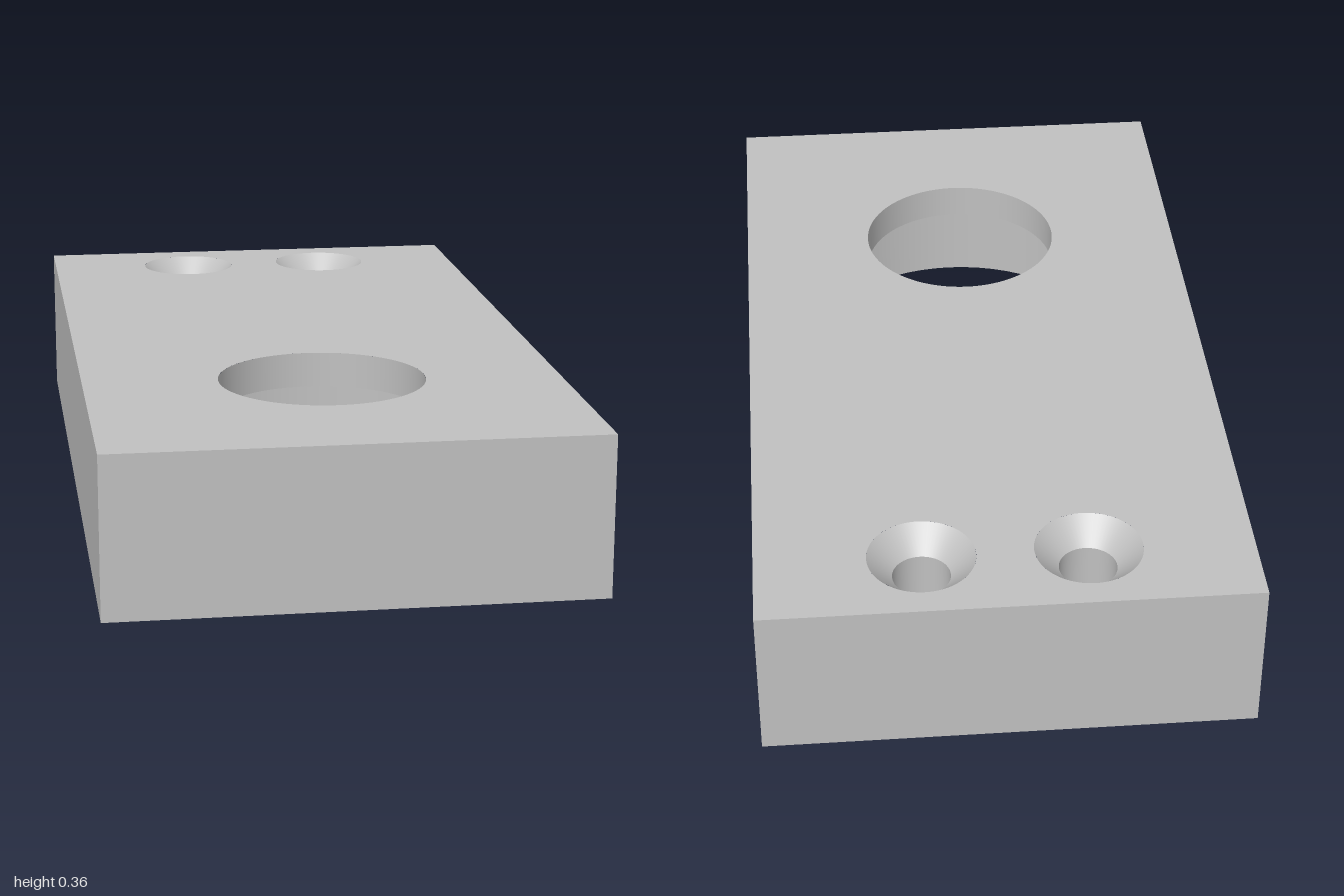
import * as THREE from 'three';

const W = 1.09, D = 2, H = 0.364, SEG = 64;
const LEDGE = 0.282, BORE_R = 0.237, POCKET_R = 0.409, BORE_Z = 0.453;
const SCREW_X = 0.182, SCREW_R = 0.064, SINK_R = 0.119, SINK_DEPTH = 0.055;
const PIN_X = 0.4, PIN_R = 0.054, PIN_DEPTH = 0.22, HOLE_Z = -0.82;

export function createModel() {
  const group = new THREE.Group();
  const metal = new THREE.MeshStandardMaterial({ color: 0xc0c0c0 });
  metal.name = 'plain grey';

  const add = (name, geometry, x = 0, y = 0, z = 0) => {
    const mesh = new THREE.Mesh(geometry, metal);
    mesh.name = name;
    mesh.position.set(x, y, z);
    group.add(mesh);
    return mesh;
  };

  // Flat rectangular face pierced by round holes [x, z, radius]; dir is 1 for up, -1 for down
  const face = (name, y, dir, holes) => {
    const shape = new THREE.Shape([[-1, -1], [1, -1], [1, 1], [-1, 1]]
      .map(([x, z]) => new THREE.Vector2(x * W / 2, z * D / 2)));
    for (const [x, z, r] of holes) {
      shape.holes.push(new THREE.Path().absarc(x, -dir * z, r, 0, Math.PI * 2, true));
    }
    add(name, new THREE.ShapeGeometry(shape, SEG).rotateX(-dir * Math.PI / 2), 0, y, 0);
  };

  // Inward-facing round wall, from the top radius and height to the bottom ones
  const wall = (name, x, z, rTop, yTop, rBottom, yBottom) => add(name,
    new THREE.LatheGeometry([new THREE.Vector2(rTop, yTop), new THREE.Vector2(rBottom, yBottom)], SEG), x, 0, z);

  // Block faces
  face('topFace', H, 1, [
    [0, BORE_Z, BORE_R], [-SCREW_X, HOLE_Z, SINK_R], [SCREW_X, HOLE_Z, SINK_R]]);
  face('bottomFace', 0, -1, [
    [0, BORE_Z, POCKET_R],
    ...[-1, 1].flatMap(s => [[s * SCREW_X, HOLE_Z, SCREW_R], [s * PIN_X, HOLE_Z, PIN_R]])]);
  ['frontFace', 'leftFace', 'backFace', 'rightFace'].forEach((name, i) => {
    const [width, offset] = i % 2 ? [D, W / 2] : [W, D / 2];
    add(name, new THREE.PlaneGeometry(width, H).translate(0, H / 2, offset).rotateY(i * Math.PI / 2));
  });

  // Large bore with a wider pocket below
  wall('boreWall', 0, BORE_Z, BORE_R, H, BORE_R, LEDGE);
  wall('pocketWall', 0, BORE_Z, POCKET_R, LEDGE, POCKET_R, 0);
  add('pocketLedge', new THREE.RingGeometry(BORE_R, POCKET_R, SEG).rotateX(Math.PI / 2), 0, LEDGE, BORE_Z);

  // Countersunk screw holes, and blind pin holes from below
  for (const s of [-1, 1]) {
    const side = s > 0 ? 'left' : 'right';
    wall(side + 'Countersink', s * SCREW_X, HOLE_Z, SINK_R, H, SCREW_R, H - SINK_DEPTH);
    wall(side + 'ScrewHole', s * SCREW_X, HOLE_Z, SCREW_R, H - SINK_DEPTH, SCREW_R, 0);
    wall(side + 'PinHole', s * PIN_X, HOLE_Z, PIN_R, PIN_DEPTH, PIN_R, 0);
    add(side + 'PinHoleEnd', new THREE.CircleGeometry(PIN_R, SEG).rotateX(Math.PI / 2), s * PIN_X, PIN_DEPTH, HOLE_Z);
  }
  return group;
}
